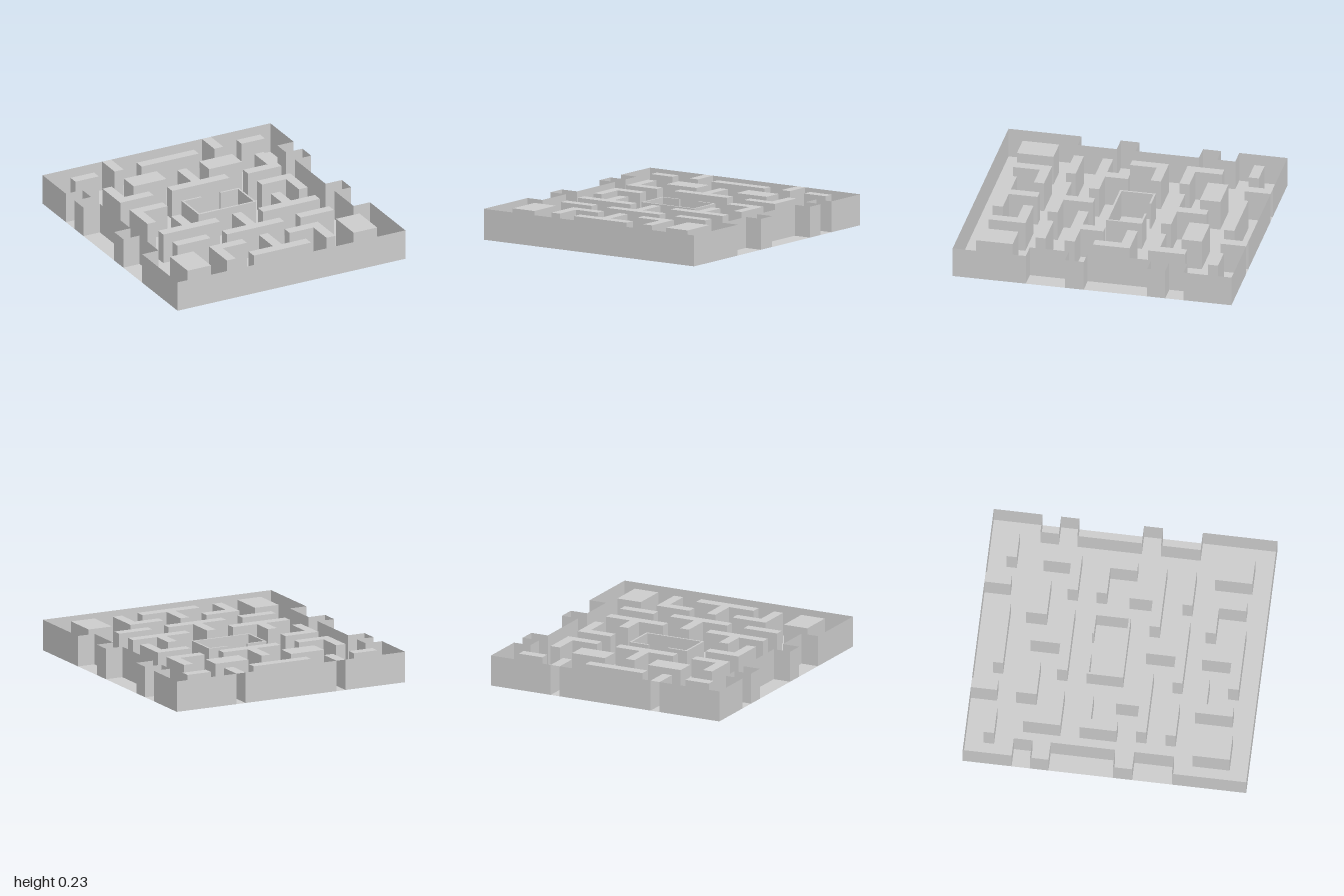
import * as THREE from 'three';

const FLOOR = 0.01, TOP = 0.23, W = 0.905, D = 1;

const solid = new THREE.MeshStandardMaterial({ color: 0xcccccc, flatShading: true });
const sheet = new THREE.MeshStandardMaterial({ color: 0xcccccc, flatShading: true, side: THREE.DoubleSide });

const mirror = (pts) => pts.map(([x, z]) => [-x, z]);

// Ground-plan outlines, as [x, z] corners
const rect = (x0, x1, z0, z1) => [[x0, z0], [x1, z0], [x1, z1], [x0, z1]];

// Crossbar from z1 to z2 with a stem reaching back to z0
const tee = (x0, x1, s0, s1, z0, z1, z2) =>
  [[x0, z1], [s0, z1], [s0, z0], [s1, z0], [s1, z1], [x1, z1], [x1, z2], [x0, z2]];

// Bar from x0 to x1 between zBar and zIn; leg from xLeg to x1 ending at zEnd
const ell = (x0, xLeg, x1, zBar, zIn, zEnd) =>
  [[x0, zBar], [x1, zBar], [x1, zEnd], [xLeg, zEnd], [xLeg, zIn], [x0, zIn]];

// Raise an outline between two heights
function raise(name, pts, bottom = FLOOR, top = TOP) {
  const shape = new THREE.Shape(pts.map(([x, z]) => new THREE.Vector2(x, z)));
  const geo = new THREE.ExtrudeGeometry(shape, { depth: top - bottom, bevelEnabled: false });
  geo.rotateX(Math.PI / 2).translate(0, top, 0);
  const mesh = new THREE.Mesh(geo, solid);
  mesh.name = name;
  return mesh;
}

// Flat horizontal sheet
function flat(name, x0, x1, z0, z1, y) {
  const geo = new THREE.PlaneGeometry(x1 - x0, z1 - z0);
  geo.rotateX(-Math.PI / 2).translate((x0 + x1) / 2, y, (z0 + z1) / 2);
  const mesh = new THREE.Mesh(geo, sheet);
  mesh.name = name;
  return mesh;
}

// Thin upright sheets along a closed outline
function fence(name, pts) {
  const group = new THREE.Group();
  group.name = name;
  pts.forEach(([x0, z0], i) => {
    const [x1, z1] = pts[(i + 1) % pts.length];
    const geo = new THREE.PlaneGeometry(Math.hypot(x1 - x0, z1 - z0), TOP - FLOOR);
    geo.rotateY(-Math.atan2(z1 - z0, x1 - x0));
    geo.translate((x0 + x1) / 2, (TOP + FLOOR) / 2, (z0 + z1) / 2);
    const mesh = new THREE.Mesh(geo, sheet);
    mesh.name = 'outerWallPanel';
    group.add(mesh);
  });
  return group;
}

export function createModel() {
  const model = new THREE.Group();
  model.name = 'maze';

  model.add(flat('floor', -W, W, -D, D, FLOOR));

  // Outer wall: slots at the back, recesses and tunnel ends along the sides
  const n0 = 0.36, n1 = 0.432, nz = -0.815, a = 0.775;
  const half = [[n0, -D], [n0, nz], [n1, nz], [n1, -D], [W, -D]];
  for (const [z0, z1] of [[-0.655, -0.525], [-0.395, 0.06], [0.195, 0.475]]) {
    half.push([W, z0], [a, z0], [a, z1], [W, z1]);
  }
  half.push([W, D]);
  model.add(fence('outerWall', [...half, ...mirror(half).reverse()]));
  model.add(flat('backSlotLid', n0, n1, -D, nz, TOP));
  model.add(flat('backSlotLid', -n1, -n0, -D, nz, TOP));

  // Blocks on the centre line
  const c = 0.2275, s = 0.035;
  model.add(raise('centreBar', rect(-c, c, -0.87, -0.797)));
  for (const [z0, z1, z2] of [[-0.627, -0.417, -0.343], [0.187, 0.397, 0.468], [0.583, 0.79, 0.865]]) {
    model.add(raise('centreTee', tee(-c, c, -s, s, z0, z1, z2)));
  }

  // Blocks repeated on both sides
  const pairs = {
    backBar: rect(0.567, 0.753, -0.87, -0.797),
    backBlock: rect(0.17, 0.43, -0.682, -0.536),
    backAngle: ell(0.375, 0.567, 0.64, -0.343, -0.415, -0.607),
    middleAngle: ell(0.375, 0.567, 0.637, -0.21, -0.137, 0.053),
    sideTee: tee(0.17, 0.622, 0.36, 0.432, 0.023, 0.187, 0.26),
    sideBar: rect(0.357, 0.622, 0.397, 0.468),
    frontAngle: ell(0.17, 0.36, 0.432, 0.583, 0.655, 0.847),
    frontBlock: rect(0.567, 0.753, 0.603, 0.865),
  };
  for (const [name, pts] of Object.entries(pairs)) {
    model.add(raise(name, pts), raise(name, mirror(pts)));
  }

  // Thin-walled pen with a doorway at the back, its foot just below the floor
  const t = 0.014, p0 = -0.207, p1 = 0.05, door = 0.076;
  model.add(raise('pen', [
    [-door, p0], [-c, p0], [-c, p1], [c, p1], [c, p0], [door, p0],
    [door, p0 + t], [c - t, p0 + t], [c - t, p1 - t], [t - c, p1 - t], [t - c, p0 + t], [-door, p0 + t],
  ], 0, 0.21));

  return model;
}
